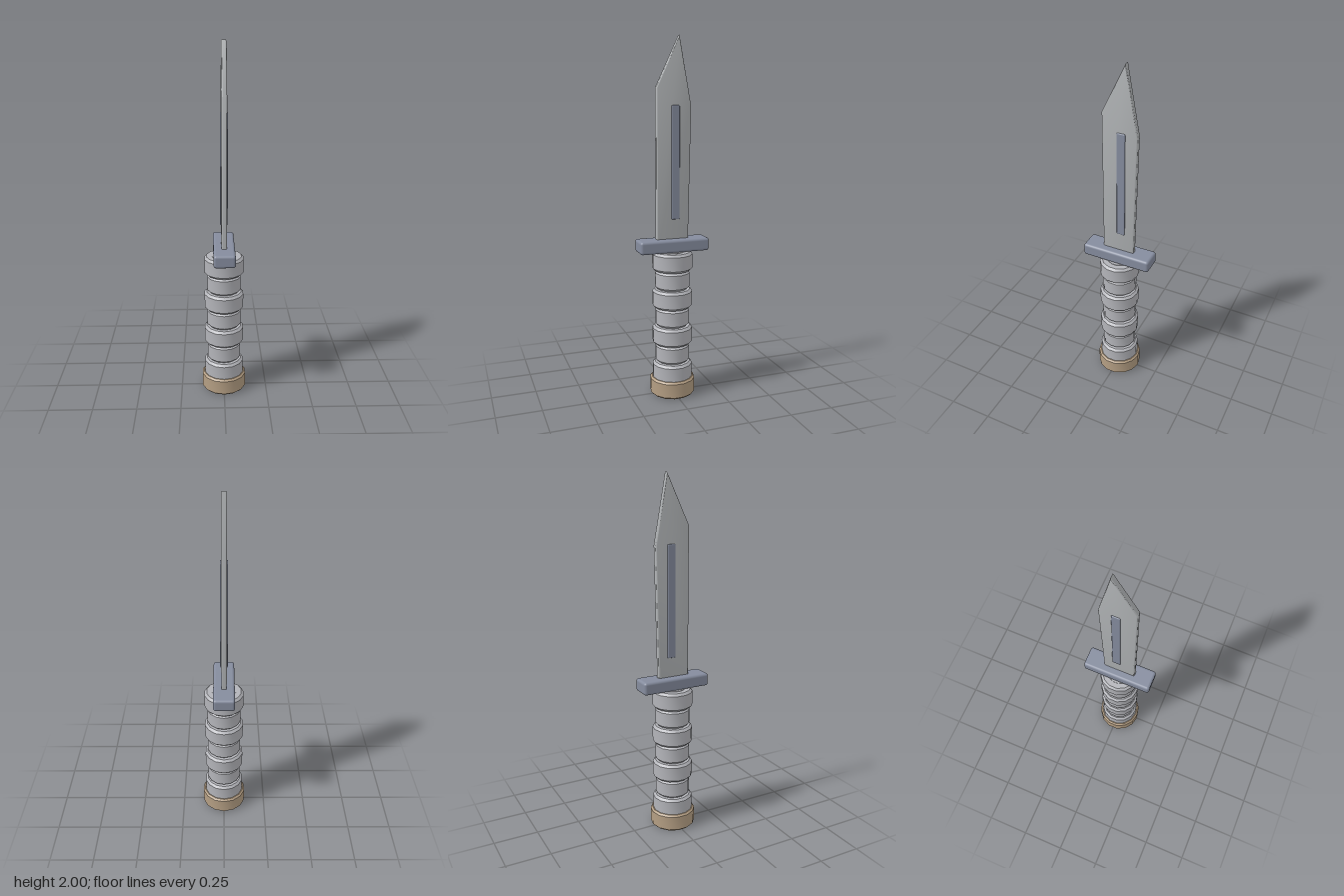
import * as THREE from 'three';
import { toCreasedNormals } from 'three/addons/utils/BufferGeometryUtils.js';
import { RoundedBoxGeometry } from 'three/addons/geometries/RoundedBoxGeometry.js';

const material = (name, color) => {
  const m = new THREE.MeshStandardMaterial({ color });
  m.name = name;
  return m;
};

export function createModel() {
  const model = new THREE.Group();
  model.name = 'knife';
  const grip = material('grip silver', 0xb3b4b9);
  const steel = material('blade steel', 0xb0b3b5);
  const slate = material('slate metal', 0x858c9e);
  const tan = material('pommel tan', 0xb49e83);

  const add = (name, geometry, mat, x = 0, y = 0, z = 0) => {
    const mesh = new THREE.Mesh(geometry, mat);
    mesh.name = name;
    mesh.position.set(x, y, z);
    model.add(mesh);
    return mesh;
  };

  // Fourteen-sided disc with bevelled rims
  const disc = (r, y0, y1, b) => {
    const points = [[0, y0], [r - b, y0], [r, y0 + b], [r, y1 - b], [r - b, y1], [0, y1]]
      .map(([x, y]) => new THREE.Vector2(x, y));
    return toCreasedNormals(new THREE.LatheGeometry(points, 14), 0.6);
  };

  // Pommel
  add('pommel', disc(0.128, 0, 0.1, 0.01), tan);

  // Grip rings, alternating wide and narrow
  const pitch = 0.107;
  for (let i = 0; i < 7; i++) {
    const wide = i % 2 === 0;
    const y = 0.085 + i * pitch;
    add(wide ? 'wideGripRing' : 'narrowGripRing', disc(wide ? 0.113 : 0.097, y, y + 0.105, 0.013), grip);
  }

  // Tang core between grip and guard
  add('gripCore', new THREE.CylinderGeometry(0.07, 0.07, 0.72, 14), grip, 0, 0.475, 0);

  // Crossguard
  add('guard', new RoundedBoxGeometry(0.12, 0.072, 0.4, 3, 0.015), slate, 0, 0.87, 0);

  // Blade: side outline (z, y) extruded across x with softened edges
  const outline = new THREE.Shape(
    [[0.094, 0.88], [0.094, 1.728], [-0.037, 2.0], [-0.106, 1.63], [-0.09, 0.88]]
      .reverse().map(([z, y]) => new THREE.Vector2(z, y))
  );
  const bevel = 0.008;
  const blade = new THREE.ExtrudeGeometry(outline, {
    depth: 0.03 - 2 * bevel, bevelEnabled: true, bevelThickness: bevel,
    bevelSize: bevel, bevelOffset: -bevel, bevelSegments: 3,
  });
  blade.translate(0, 0, -(0.03 - 2 * bevel) / 2);
  blade.rotateY(-Math.PI / 2);
  add('blade', toCreasedNormals(blade, 0.6), steel);

  // Raised strip running along both faces of the blade
  add('bladeStrip', new RoundedBoxGeometry(0.042, 0.62, 0.048, 2, 0.006), slate, 0, 1.325, -0.014);

  return model;
}
